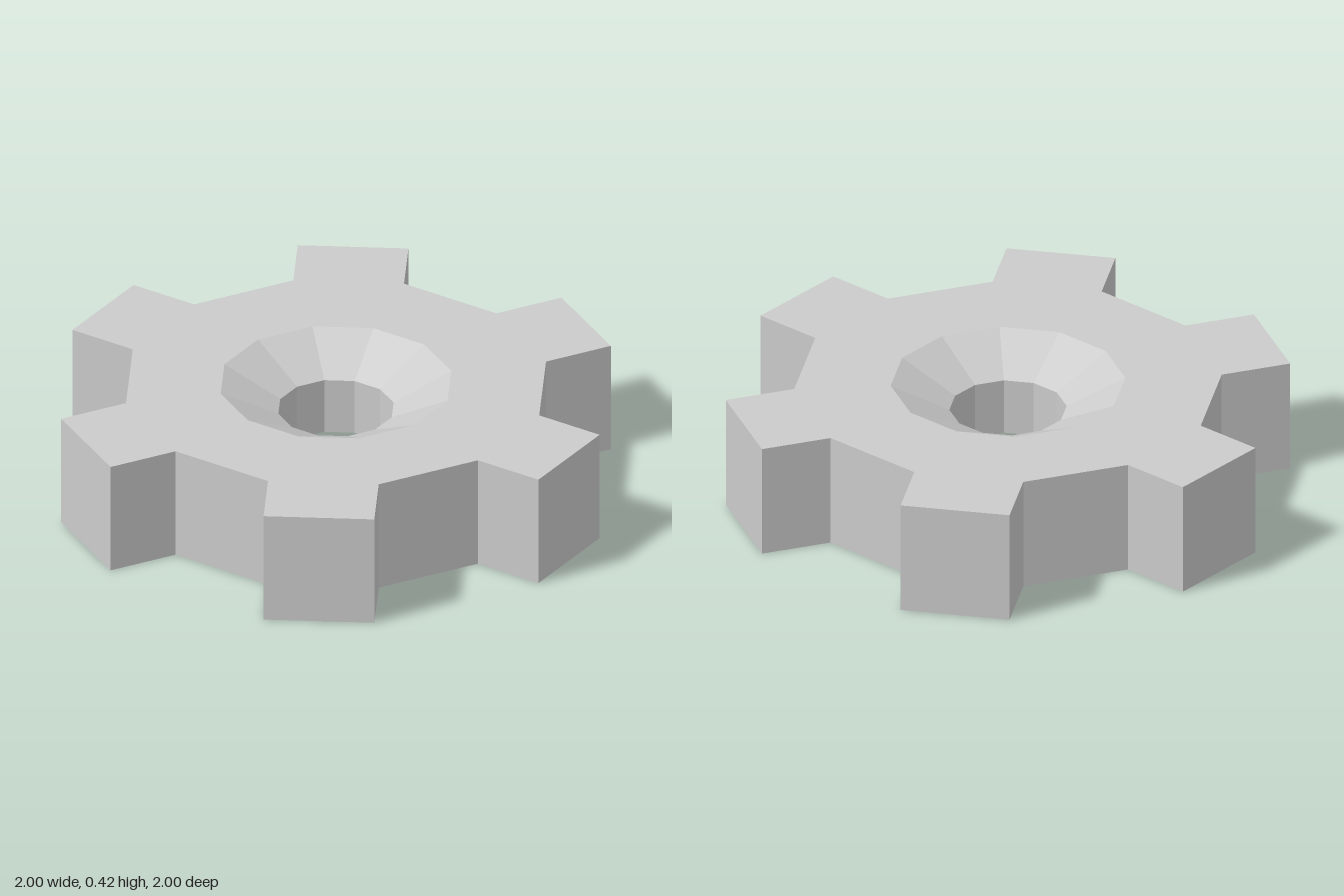
import * as THREE from 'three';

const HEIGHT = 0.416;
const BODY_R = 0.754; // twelve-sided body
const TOOTH = 0.255; // how far each tooth stands out
const BORE_R = 0.207;
const SINK_R = 0.414; // wide end of the countersink
const SINK_DEPTH = 0.104;
const STEP = Math.PI / 6;

const polar = (r, a) => new THREE.Vector2(r * Math.cos(a), r * Math.sin(a));

// Gear outline in x, z: every other side of the dodecagon is pushed out as a tooth
function gearOutline() {
  const points = [];
  for (let i = 0; i < 6; i++) {
    const a = polar(BODY_R, 2 * i * STEP);
    const b = polar(BODY_R, (2 * i + 1) * STEP);
    const out = polar(TOOTH, (2 * i + 0.5) * STEP);
    points.push(a, a.clone().add(out), b.clone().add(out), b);
  }
  return points;
}

// Flat face with the countersink opening cut out; side is 1 for top, -1 for bottom
function faceGeometry(outline, side) {
  const flip = (p) => new THREE.Vector2(p.x, -side * p.y);
  const shape = new THREE.Shape(outline.map(flip));
  const rim = Array.from({ length: 12 }, (_, i) => flip(polar(SINK_R, i * STEP)));
  shape.holes.push(new THREE.Path(rim));
  const geometry = new THREE.ShapeGeometry(shape);
  geometry.rotateX(-side * Math.PI / 2);
  geometry.translate(0, side > 0 ? HEIGHT : 0, 0);
  return geometry;
}

// Upright wall following the outline, one quad per edge
function wallGeometry(outline) {
  const positions = [];
  outline.forEach((a, i) => {
    const b = outline[(i + 1) % outline.length];
    positions.push(
      a.x, 0, a.y, a.x, HEIGHT, a.y, b.x, HEIGHT, b.y,
      a.x, 0, a.y, b.x, HEIGHT, b.y, b.x, 0, b.y
    );
  });
  const geometry = new THREE.BufferGeometry();
  geometry.setAttribute('position', new THREE.Float32BufferAttribute(positions, 3));
  geometry.computeVertexNormals();
  return geometry;
}

// Straight bore countersunk from both faces; the profile runs downward so it faces the axis
function boreGeometry() {
  const profile = [
    new THREE.Vector2(SINK_R, HEIGHT),
    new THREE.Vector2(BORE_R, HEIGHT - SINK_DEPTH),
    new THREE.Vector2(BORE_R, SINK_DEPTH),
    new THREE.Vector2(SINK_R, 0),
  ];
  return new THREE.LatheGeometry(profile, 12);
}

export function createModel() {
  const gear = new THREE.Group();
  gear.name = 'gear';
  const material = new THREE.MeshStandardMaterial({ color: 0xcccccc, flatShading: true });
  const add = (name, geometry) => {
    const mesh = new THREE.Mesh(geometry, material);
    mesh.name = name;
    gear.add(mesh);
  };

  const outline = gearOutline();
  add('topFace', faceGeometry(outline, 1));
  add('bottomFace', faceGeometry(outline, -1));
  add('toothedRim', wallGeometry(outline));
  add('countersunkBore', boreGeometry());
  return gear;
}
